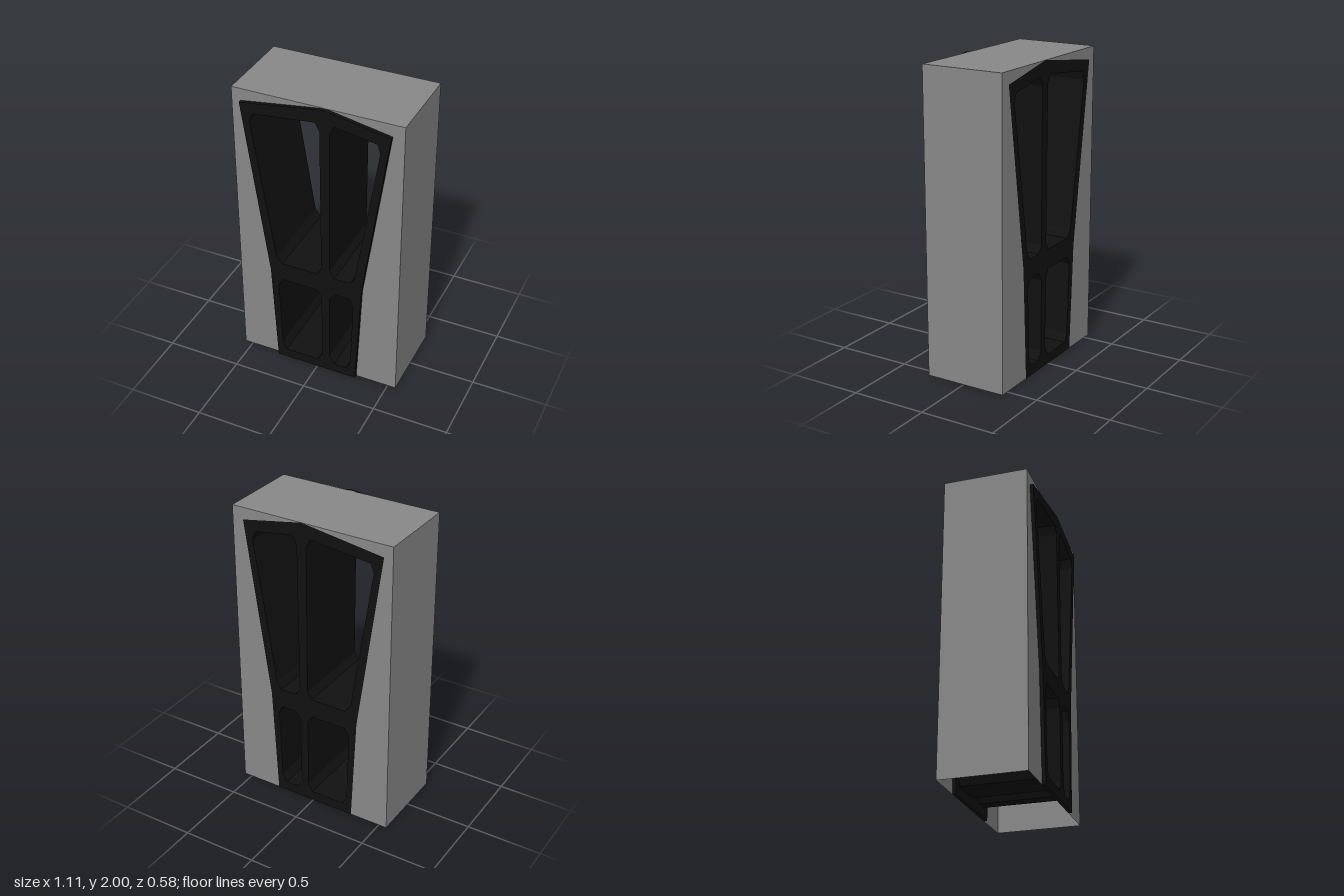
import * as THREE from 'three';

const FRONT = 0.288, WALL_FRONT = 0.265, BACK = -0.288, HALF = 0.555, TOP = 2;

// Outer outline of the window frame
const leftEdge = [[-0.29, 0], [-0.325, 0.72], [-0.495, 1.92], [0.06, TOP]];
const rightEdge = [[0.275, 0], [0.31, 0.74], [0.48, 1.92], [0.06, TOP]];
const outline = [...leftEdge, ...rightEdge.slice(0, 3).reverse()];

// Four panes with clipped corners
const panes = {
  upperLarge: [[-0.43, 1.8], [-0.41, 1.86], [0, 1.905], [0.03, 1.85], [0.035, 0.84], [0.005, 0.79], [-0.24, 0.79], [-0.28, 0.84]],
  upperSmall: [[0.097, 1.85], [0.127, 1.905], [0.395, 1.86], [0.415, 1.8], [0.265, 0.84], [0.235, 0.79], [0.125, 0.79], [0.093, 0.84]],
  lowerLarge: [[-0.27, 0.605], [-0.24, 0.66], [0.005, 0.66], [0.035, 0.605], [0.037, 0.12], [0.005, 0.065], [-0.225, 0.065], [-0.255, 0.12]],
  lowerSmall: [[0.09, 0.605], [0.125, 0.66], [0.23, 0.66], [0.255, 0.605], [0.24, 0.12], [0.21, 0.065], [0.125, 0.065], [0.09, 0.12]],
};

const toPoints = (pts) => pts.map(([x, y]) => new THREE.Vector2(x, y));

// Sheet swept along z from a line of points
function ribbon(pts, z0, z1, closed) {
  const pos = [];
  const n = closed ? pts.length : pts.length - 1;
  for (let i = 0; i < n; i++) {
    const [ax, ay] = pts[i], [bx, by] = pts[(i + 1) % pts.length];
    pos.push(ax, ay, z0, bx, by, z0, bx, by, z1, ax, ay, z0, bx, by, z1, ax, ay, z1);
  }
  const geo = new THREE.BufferGeometry();
  geo.setAttribute('position', new THREE.Float32BufferAttribute(pos, 3));
  geo.computeVertexNormals();
  return geo;
}

export function createModel() {
  const model = new THREE.Group();
  model.name = 'wallWithWindow';
  const wallMat = new THREE.MeshStandardMaterial({ color: 0x888888, side: THREE.DoubleSide });
  const frameMat = new THREE.MeshStandardMaterial({ color: 0x111111, side: THREE.DoubleSide });

  const add = (parent, name, geo, mat, z = 0) => {
    const mesh = new THREE.Mesh(geo, mat);
    mesh.name = name;
    mesh.position.z = z;
    parent.add(mesh);
  };

  // Hollow wall, open underneath: top and ends, then faces either side of the window
  const wall = new THREE.Group();
  wall.name = 'wall';
  add(wall, 'wallTopAndEnds', ribbon([[-HALF, 0], [-HALF, TOP], [HALF, TOP], [HALF, 0]], BACK, WALL_FRONT, false), wallMat);
  for (const [side, edge, x] of [['right', leftEdge, -HALF], ['left', rightEdge, HALF]]) {
    const shape = new THREE.Shape(toPoints([[x, 0], ...edge, [x, TOP]]));
    add(wall, side + 'FrontFace', new THREE.ShapeGeometry(shape), wallMat, WALL_FRONT);
    const back = new THREE.ShapeGeometry(shape);
    back.rotateY(Math.PI).scale(-1, 1, 1); // mirrored so it faces backwards
    add(wall, side + 'BackFace', back, wallMat, BACK);
  }
  model.add(wall);

  // Window frame: a plate on each face joined by the pane linings
  const frame = new THREE.Group();
  frame.name = 'windowFrame';
  const plate = new THREE.Shape(toPoints(outline));
  for (const pts of Object.values(panes)) plate.holes.push(new THREE.Path(toPoints(pts)));
  const thickness = FRONT - WALL_FRONT;
  const plateGeo = new THREE.ExtrudeGeometry(plate, { depth: thickness, bevelEnabled: false });
  add(frame, 'frontPlate', plateGeo, frameMat, WALL_FRONT);
  add(frame, 'backPlate', plateGeo, frameMat, BACK);
  for (const [name, pts] of Object.entries(panes)) {
    add(frame, name + 'Lining', ribbon(pts, BACK + thickness, WALL_FRONT, true), frameMat);
  }
  model.add(frame);
  return model;
}
